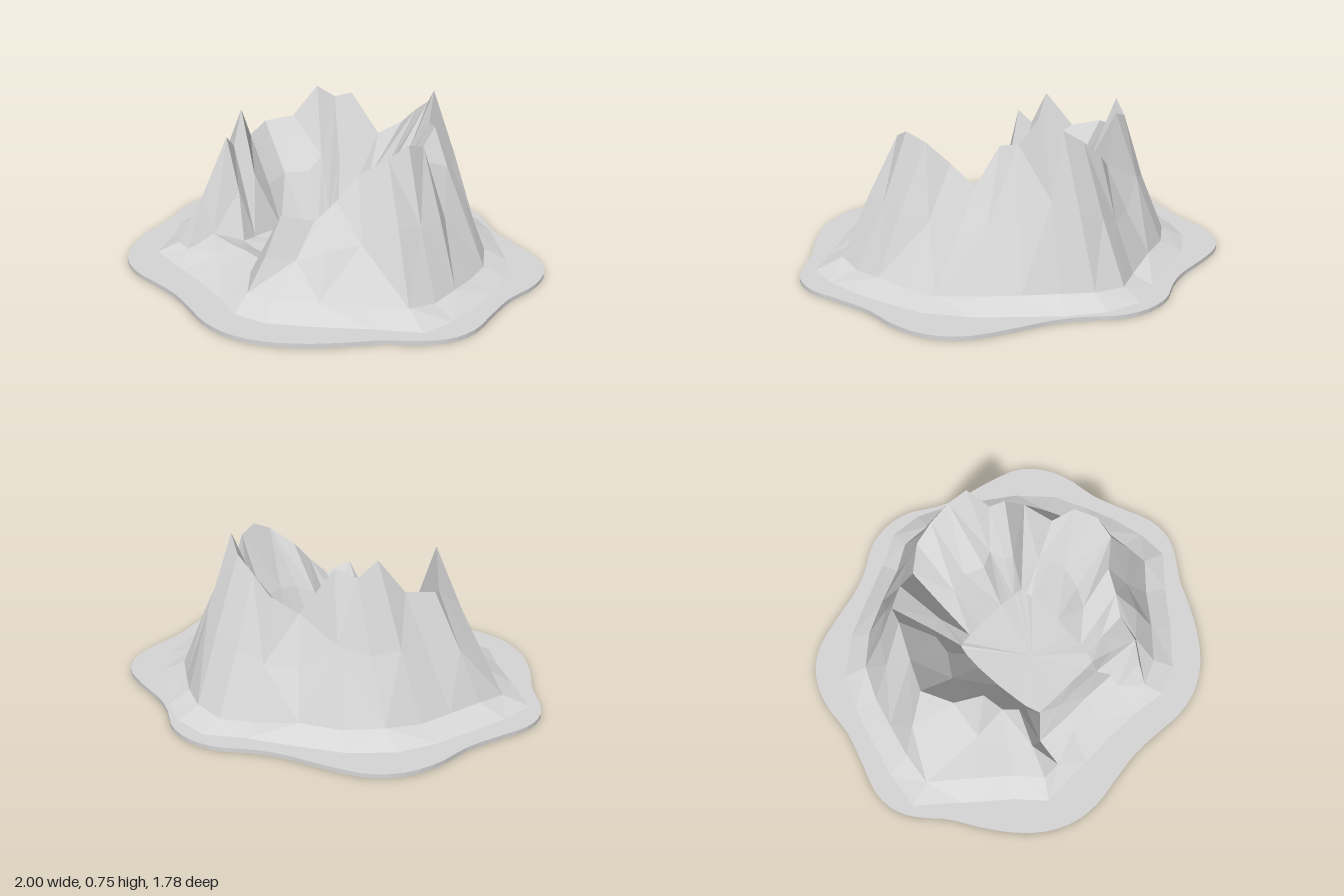
import * as THREE from 'three';

// Half outline of the base slab [x, z], from back to front
const OUTLINE = [
  [0, -0.89], [0.13, -0.865], [0.25, -0.79], [0.37, -0.735], [0.55, -0.69], [0.72, -0.63],
  [0.82, -0.53], [0.875, -0.39], [0.895, -0.22], [0.945, -0.06], [0.995, 0.09], [0.99, 0.21],
  [0.94, 0.31], [0.84, 0.43], [0.77, 0.55], [0.68, 0.68], [0.57, 0.79], [0.44, 0.86],
  [0.3, 0.882], [0.15, 0.867], [0, 0.855],
];

// Ridge sections going round from the back: crest x, z, height, then outer foot x, z
const RIDGE = [
  [0, -0.49, 0.62, -0.03, -0.73],
  [0.1, -0.48, 0.68, 0.12, -0.72],
  [0.18, -0.44, 0.75, 0.25, -0.66],
  [0.24, -0.36, 0.62, 0.38, -0.57],
  [0.31, -0.33, 0.62, 0.52, -0.47],
  [0.42, -0.31, 0.46, 0.64, -0.34],
  [0.43, -0.14, 0.52, 0.7, -0.2],
  [0.51, -0.08, 0.61, 0.75, -0.06],
  [0.54, 0.03, 0.64, 0.78, 0.08],
  [0.53, 0.13, 0.6, 0.78, 0.22],
  [0.44, 0.21, 0.52, 0.66, 0.34],
  [0.41, 0.3, 0.42, 0.54, 0.48],
  [0.37, 0.38, 0.34, 0.41, 0.61],
  [0.32, 0.51, 0.38, 0.29, 0.66],
  [0.19, 0.52, 0.14, 0.17, 0.64],
  [0.03, 0.51, 0.13, 0, 0.63],
  [-0.1, 0.51, 0.12, -0.15, 0.63],
  [-0.28, 0.5, 0.11, -0.29, 0.63],
  [-0.32, 0.39, 0.55, -0.38, 0.63],
  [-0.36, 0.33, 0.49, -0.48, 0.52],
  [-0.4, 0.26, 0.65, -0.63, 0.39],
  [-0.49, 0.16, 0.49, -0.79, 0.25],
  [-0.56, 0.03, 0.53, -0.77, 0.09],
  [-0.5, -0.1, 0.55, -0.73, -0.07],
  [-0.44, -0.21, 0.7, -0.69, -0.22],
  [-0.41, -0.3, 0.64, -0.62, -0.37],
  [-0.32, -0.34, 0.67, -0.49, -0.49],
  [-0.2, -0.42, 0.47, -0.33, -0.57],
  [-0.1, -0.49, 0.54, -0.16, -0.65],
];

const mix = THREE.MathUtils.lerp;
// Repeatable noise in -1..1
const noise = (n) => {
  const s = Math.sin(n * 127.1 + 3.7) * 43758.5453;
  return (s - Math.floor(s)) * 2 - 1;
};

// Points of one section, from the apron edge over the crest to the crater floor
function section([cx, cz, h, fx, fz], i) {
  const footY = 0.06 + 0.015 * noise(i);
  const ix = 0.24 * Math.tanh(cx * 3.4);
  const iz = 0.15 + 0.28 * Math.tanh((cz - 0.15) * 4);
  const floorY = 0.08 + 0.004 * noise(i + 40);
  const a = 0.5 + 0.05 * noise(i + 80);
  const b = 0.58 + 0.08 * noise(i + 120);
  return [
    [fx * 1.16, 0.016, fz * 1.14],
    [fx, footY, fz],
    [mix(fx, cx, a), mix(footY, h, 0.49 + 0.04 * noise(i + 160)), mix(fz, cz, a)],
    [cx, h, cz],
    [mix(cx, ix, b), mix(h, floorY, 0.53), mix(cz, iz, b)],
    [ix, floorY, iz],
  ];
}

// Faceted strips between neighbouring sections; step range picks slopes or crater
function strips(sections, from, to) {
  const pos = [];
  const tri = (...p) => p.forEach((v) => pos.push(...v));
  sections.forEach((s, i) => {
    const n = sections[(i + 1) % sections.length];
    for (let k = from; k < to; k++) {
      const [a, b, c, d] = [s[k], n[k], s[k + 1], n[k + 1]];
      if ((i + k) % 2) { tri(a, c, b); tri(b, c, d); }
      else { tri(a, c, d); tri(a, d, b); }
    }
  });
  return pos;
}

function facetMesh(name, pos, material) {
  const geo = new THREE.BufferGeometry();
  geo.setAttribute('position', new THREE.Float32BufferAttribute(pos, 3));
  geo.computeVertexNormals();
  const mesh = new THREE.Mesh(geo, material);
  mesh.name = name;
  return mesh;
}

export function createModel() {
  const group = new THREE.Group();
  group.name = 'craterMountain';
  const rock = new THREE.MeshStandardMaterial({ color: 0xd6d6d6 });
  rock.name = 'grey rock';

  // Thin wavy base slab, turned slightly
  const mirrored = OUTLINE.slice(1, -1).reverse().map(([x, z]) => [-x, z]);
  const points = [...OUTLINE, ...mirrored].map(([x, z]) => new THREE.Vector3(x, z, 0));
  const curve = new THREE.CatmullRomCurve3(points, true);
  const rim = curve.getPoints(100).slice(0, -1).map((p) => new THREE.Vector2(p.x, p.y));
  const slab = new THREE.ExtrudeGeometry(new THREE.Shape(rim), { depth: 0.018, bevelEnabled: false });
  slab.rotateX(Math.PI / 2).rotateY(0.02).translate(0, 0.018, 0);
  const base = new THREE.Mesh(slab, rock);
  base.name = 'baseSlab';
  group.add(base);

  // Outer slopes and inner crater walls
  const sections = RIDGE.map(section);
  group.add(facetMesh('outerSlopes', strips(sections, 0, 3), rock));
  group.add(facetMesh('craterWalls', strips(sections, 3, 5), rock));

  // Crater floor, fanned around its middle
  const floor = [];
  sections.forEach((s, i) => {
    const n = sections[(i + 1) % sections.length];
    floor.push(...s[5], 0, 0.08, 0.17, ...n[5]);
  });
  group.add(facetMesh('craterFloor', floor, rock));
  return group;
}
